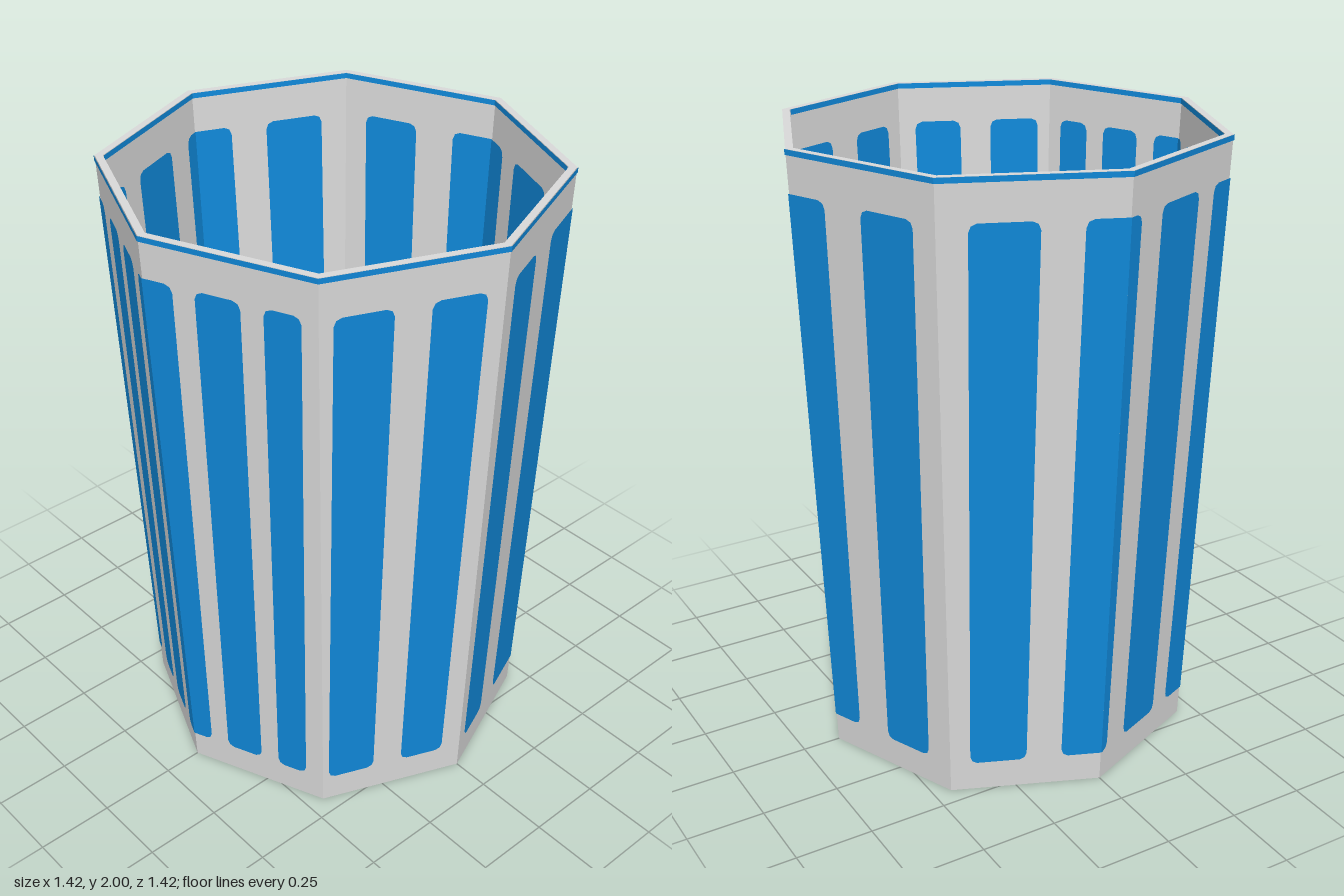
import * as THREE from 'three';

const SIDES = 8;
const outerR = y => 0.625 + 0.04 * y;
const innerR = y => 0.605 + 0.075 * (y - 0.02) / 1.98;

// Point on an octagonal wall: s counts facets round from +z towards +x
function wallPoint(s, y, r) {
  const i = Math.floor(s + 1e-9), t = s - i;
  const a = i * Math.PI * 2 / SIDES, b = (i + 1) * Math.PI * 2 / SIDES;
  return [
    r * (Math.sin(a) * (1 - t) + Math.sin(b) * t),
    y,
    r * (Math.cos(a) * (1 - t) + Math.cos(b) * t),
  ];
}

// Flat panel lying on the walls between s0 and s1, split wherever it crosses a corner
function panelGeometry(s0, s1, y0, y1, lean, round, inside) {
  const pos = [];
  const cs = round ? 0.045 : 0, cy = round ? 0.025 : 0;
  for (let i = Math.floor(s0 + 1e-9); i < s1 - 1e-9; i++) {
    const a = Math.max(s0, i), b = Math.min(s1, i + 1);
    const ca = a === s0 ? Math.min(cs, (b - a) / 2) : 0;
    const cb = b === s1 ? Math.min(cs, (b - a) / 2) : 0;
    const k = 0.3;
    const outline = [
      [a + ca, y0], [b - cb, y0], [b - cb * k, y0 + cy * k], [b, y0 + cy],
      [b, y1 - cy], [b - cb * k, y1 - cy * k], [b - cb, y1],
      [a + ca, y1], [a + ca * k, y1 - cy * k], [a, y1 - cy],
      [a, y0 + cy], [a + ca * k, y0 + cy * k],
    ].map(([s, y]) => {
      // stripes shift slightly round the wall towards the base
      const local = Math.min(i + 1, Math.max(i, s - (s > i && s < i + 1 ? lean * (1 - y / 2) : 0)));
      const r = inside ? innerR(y) - 0.003 : outerR(y) + 0.003;
      const t = Math.min(local - i, 0.99999);
      return wallPoint(i + t, y, r);
    });
    for (let n = 1; n < outline.length - 1; n++) {
      const tri = [outline[0], outline[n], outline[n + 1]];
      if (inside) tri.reverse();
      tri.forEach(p => pos.push(...p));
    }
  }
  const g = new THREE.BufferGeometry();
  g.setAttribute('position', new THREE.Float32BufferAttribute(pos, 3));
  g.computeVertexNormals();
  return g;
}

// Stripe start and end, in facets; the last wraps onto the next facet
const STRIPES = [
  [0.12, 0.43], [0.66, 1.06], [1.23, 1.66], [1.83, 2.26], [2.51, 2.86],
  [3.17, 3.54], [3.77, 4.1], [4.3, 4.67], [4.83, 5.13], [5.26, 5.47],
  [5.58, 5.81], [5.92, 6.18], [6.31, 6.57], [6.7, 6.91], [7.08, 7.4], [7.6, 7.9],
];

export function createModel() {
  const grey = new THREE.MeshStandardMaterial({ color: 0xdadada });
  grey.name = 'pale grey';
  const blue = new THREE.MeshStandardMaterial({ color: 0x1089da });
  blue.name = 'stripe blue';

  const cup = new THREE.Group();
  cup.name = 'stripedCup';
  const add = (name, geometry, material, parent) => {
    const mesh = new THREE.Mesh(geometry, material);
    mesh.name = name;
    parent.add(mesh);
  };

  // Hollow tapered body with base, rim and inner floor
  const profile = [[0, 0], [0.625, 0], [0.705, 2], [0.68, 2], [0.605, 0.02], [0, 0.02]]
    .map(([x, y]) => new THREE.Vector2(x, y));
  const body = new THREE.LatheGeometry(profile, SIDES).toNonIndexed();
  body.computeVertexNormals();
  add('cupBody', body, grey, cup);

  // Stripes and rim lines on both faces of the wall
  for (const inside of [false, true]) {
    const side = inside ? 'inner' : 'outer';
    const group = new THREE.Group();
    group.name = side + 'Decoration';
    cup.add(group);
    STRIPES.forEach(([a, b], i) =>
      add(`${side}Stripe${i + 1}`, panelGeometry(a, b, 0.1, 1.87, 0.04, true, inside), blue, group));
    add(side + 'RimLine', panelGeometry(0, SIDES, 1.983, 2, 0, false, inside), blue, group);
  }
  return cup;
}
